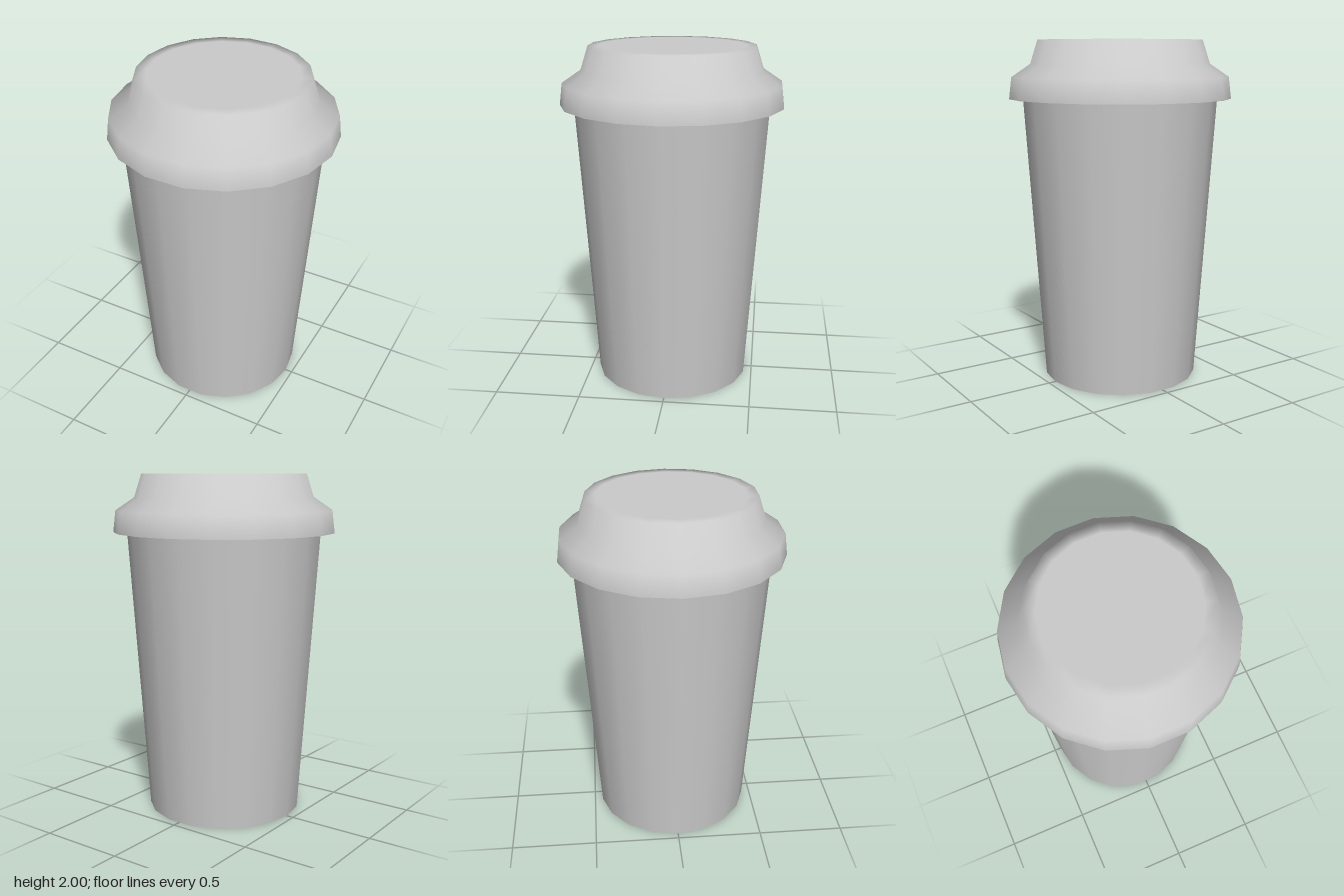
import * as THREE from 'three';

const SIDES = 18;
const START = Math.PI / 2; // puts a corner on the x axis

export function createModel() {
  const model = new THREE.Group();
  const material = new THREE.MeshStandardMaterial({ color: 0xcccccc });

  const add = (name, geometry) => {
    const mesh = new THREE.Mesh(geometry, material);
    mesh.name = name;
    model.add(mesh);
    return mesh;
  };
  const lathe = (profile) =>
    new THREE.LatheGeometry(profile.map(([r, y]) => new THREE.Vector2(r, y)), SIDES, START);

  const rimY = 1.665;

  // Tapered cup with a flat base
  add('cup', new THREE.CylinderGeometry(0.57, 0.458, rimY, SIDES, 1, false, START)).position.y = rimY / 2;

  // Smooth lid: skirt, sloping shoulder, raised collar and flat top
  add('lid', lathe([
    [0.65, rimY],
    [0.635, 1.79],
    [0.525, 1.865],
    [0.482, 2],
    [0.42, 2],
    [0, 2],
  ]));

  // Flat underside of the lid, kept separate for a sharp edge
  add('lidUnderside', lathe([[0.56, rimY], [0.65, rimY]]));

  return model;
}
